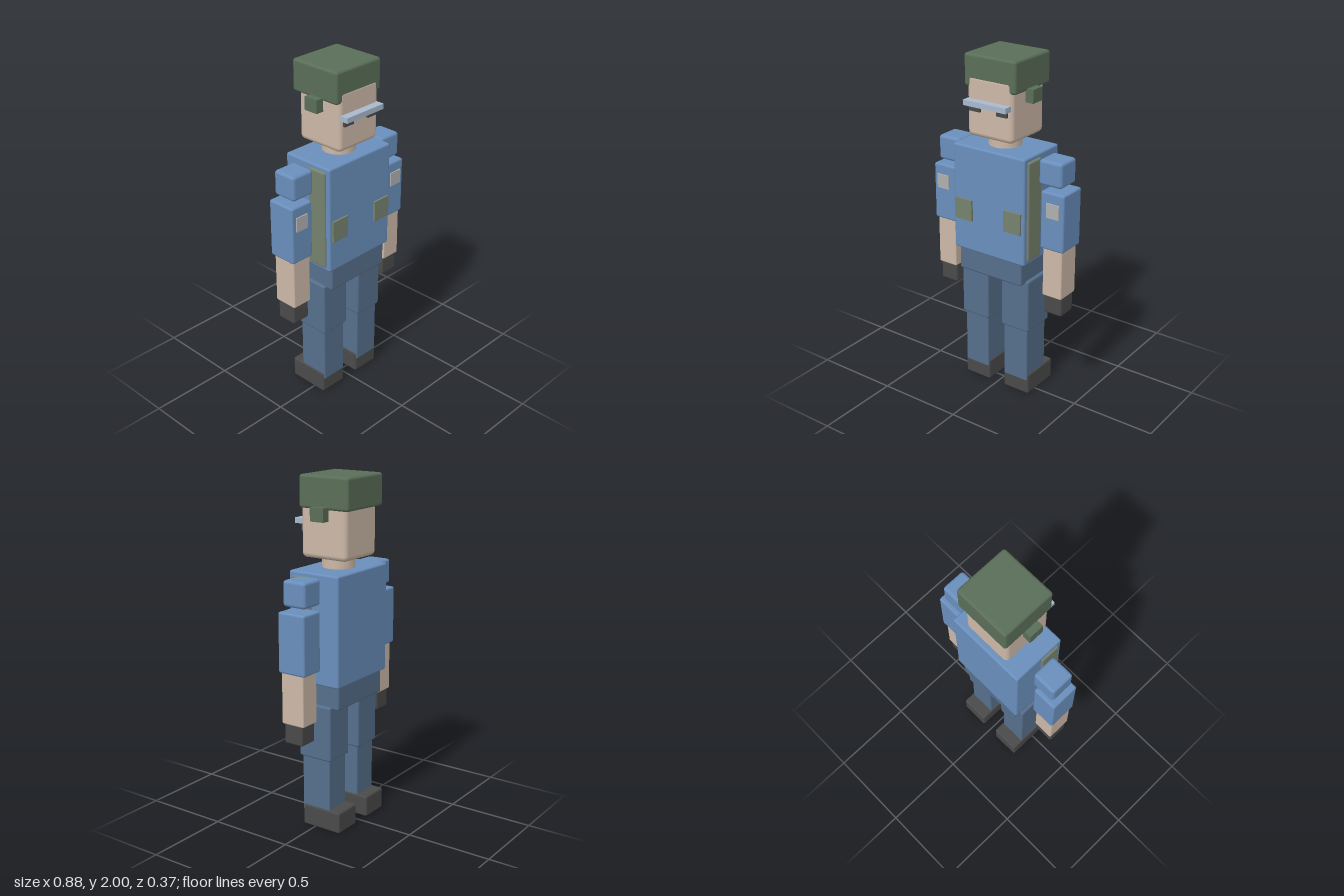
import * as THREE from 'three';
import { RoundedBoxGeometry } from 'three/addons/geometries/RoundedBoxGeometry.js';

const mat = (color) => new THREE.MeshStandardMaterial({ color });

export function createModel() {
  const model = new THREE.Group();
  const blue = mat(0x6a8fbd), navy = mat(0x566f8c), skin = mat(0xcdb9a8), dark = mat(0x4a4a4a);
  const green = mat(0x5a6e58), olive = mat(0x76826e), grey = mat(0xb0b0b0), glass = mat(0xa9b9cd);

  // Block spanning [min, max] on each axis; radius 0 gives sharp edges
  function block(name, material, [x0, x1], [y0, y1], [z0, z1], radius = 0.012) {
    const size = [x1 - x0, y1 - y0, z1 - z0];
    const geometry = radius ? new RoundedBoxGeometry(...size, 2, radius) : new THREE.BoxGeometry(...size);
    const mesh = new THREE.Mesh(geometry, material);
    mesh.name = name;
    mesh.position.set((x0 + x1) / 2, (y0 + y1) / 2, (z0 + z1) / 2);
    model.add(mesh);
  }

  // The same block on the left (+x) and right (-x)
  function pair(name, material, [x0, x1], y, z, radius) {
    block('left' + name, material, [x0, x1], y, z, radius);
    block('right' + name, material, [-x1, -x0], y, z, radius);
  }

  // Head and cap
  block('cap', green, [-0.168, 0.168], [1.82, 2], [-0.186, 0.137], 0.016);
  block('head', skin, [-0.149, 0.149], [1.547, 1.89], [-0.16, 0.139], 0.028);
  pair('EarPiece', green, [0.159, 0.208], [1.76, 1.835], [-0.055, 0.032], 0);
  block('visor', glass, [-0.139, 0.139], [1.73, 1.76], [0.133, 0.185], 0);
  pair('Eye', dark, [0.054, 0.123], [1.695, 1.735], [0.13, 0.152], 0);
  const neck = new THREE.Mesh(new THREE.CylinderGeometry(0.094, 0.094, 0.14, 16), skin);
  neck.name = 'neck';
  neck.position.set(0, 1.52, -0.01);
  model.add(neck);

  // Torso with side panels and pockets
  block('torso', blue, [-0.239, 0.239], [0.865, 1.49], [-0.173, 0.152]);
  pair('SidePanel', olive, [0.2, 0.251], [0.886, 1.467], [0.003, 0.126]);
  pair('Pocket', olive, [0.108, 0.221], [1.053, 1.177], [0.14, 0.165], 0);
  block('pelvis', navy, [-0.213, 0.213], [0.73, 0.89], [-0.158, 0.141]);

  // Arms
  pair('Shoulder', blue, [0.268, 0.414], [1.332, 1.476], [-0.084, 0.063], 0.018);
  pair('UpperArm', blue, [0.293, 0.441], [0.97, 1.307], [-0.098, 0.076]);
  pair('SleevePatch', grey, [0.333, 0.414], [1.163, 1.247], [0.06, 0.083], 0);
  pair('Forearm', skin, [0.305, 0.429], [0.68, 0.985], [-0.08, 0.065], 0.008);
  pair('Hand', dark, [0.31, 0.425], [0.568, 0.688], [-0.068, 0.053]);

  // Legs
  pair('Thigh', navy, [0.047, 0.232], [0.423, 0.745], [-0.114, 0.098]);
  pair('Shin', navy, [0.058, 0.219], [0.088, 0.43], [-0.1, 0.085], 0.008);
  pair('Shoe', dark, [0.052, 0.226], [0, 0.126], [-0.171, 0.08]);

  return model;
}
